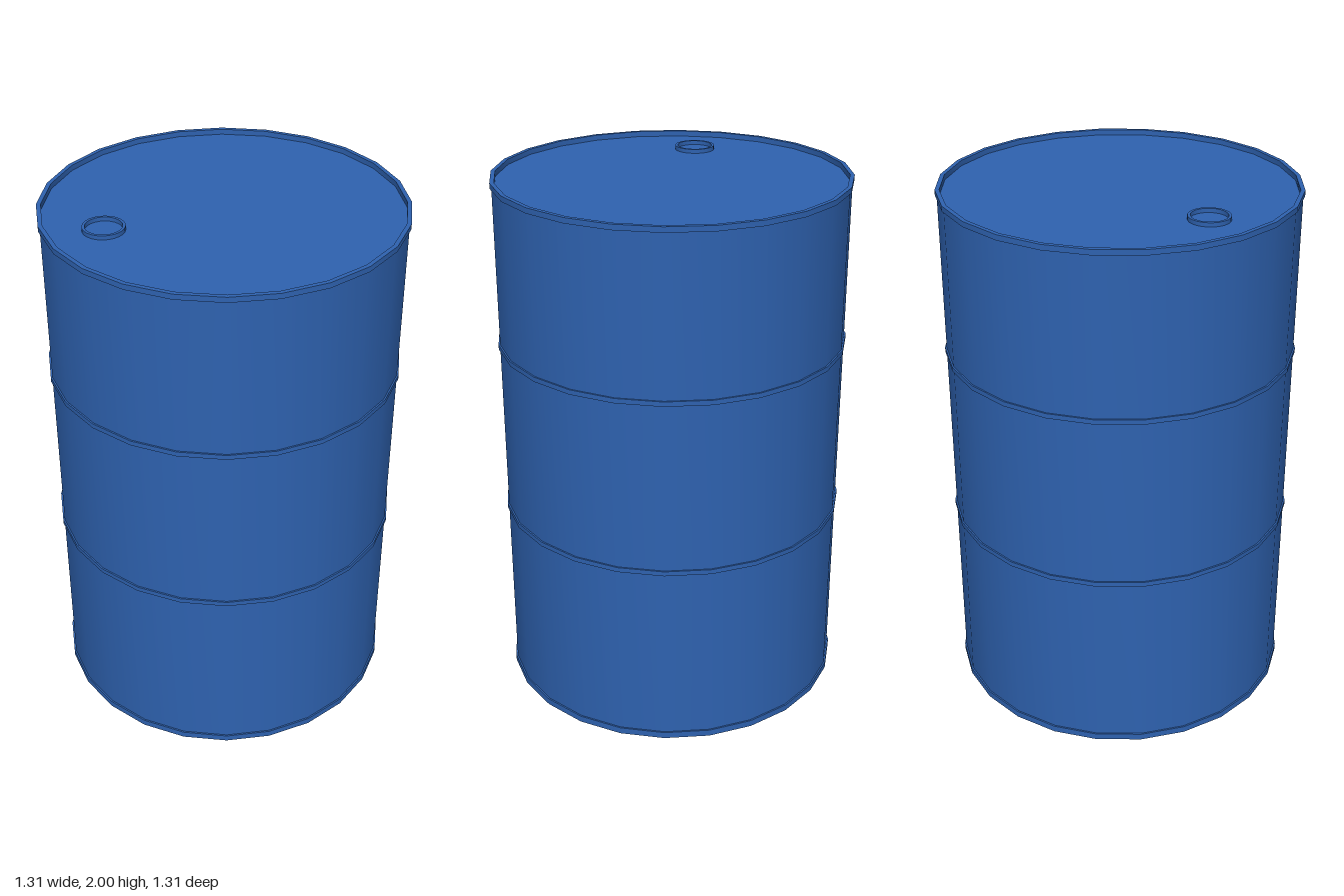
import * as THREE from 'three';
import { toCreasedNormals } from 'three/addons/utils/BufferGeometryUtils.js';

const SIDES = 24;
const WALL = 0.647;   // shell radius
const HOOP = 0.653;   // hoop and rim radius
const INNER = 0.637;  // inside of the top rim
const LID_Y = 1.98;

export function createModel() {
  const group = new THREE.Group();
  group.name = 'barrel';
  const material = new THREE.MeshStandardMaterial({ color: 0x2e62b0 });

  // Turns a profile of [radius, height] pairs, smooth around and sharp at the steps
  const turned = (name, profile) => {
    const points = profile.map(([r, y]) => new THREE.Vector2(r, y));
    const geometry = toCreasedNormals(new THREE.LatheGeometry(points, SIDES), 0.6);
    const mesh = new THREE.Mesh(geometry, material);
    mesh.name = name;
    group.add(mesh);
    return mesh;
  };

  // Side wall
  turned('shell', [[WALL, 0.025], [WALL, 1.98]]);

  // Bottom with its raised edge
  turned('base', [[0, 0], [HOOP, 0], [HOOP, 0.025], [WALL, 0.025]]);

  // Two hoops around the side
  for (const [name, y] of [['lowerHoop', 0.722], ['upperHoop', 1.384]]) {
    turned(name, [[WALL, y - 0.009], [HOOP, y - 0.009], [HOOP, y + 0.009], [WALL, y + 0.009]]);
  }

  // Top rim standing above the sunken lid
  turned('topRim', [[WALL, 1.98], [HOOP, 1.98], [HOOP, 2], [INNER, 2], [INNER, LID_Y]]);
  turned('lid', [[INNER, LID_Y], [0, LID_Y]]);

  // Filler opening: a small raised ring on the lid
  const filler = turned('fillerRing', [[0.075, 0], [0.075, 0.015], [0.065, 0.015], [0.065, 0]]);
  filler.position.set(-0.18, LID_Y, 0.4);

  return group;
}
